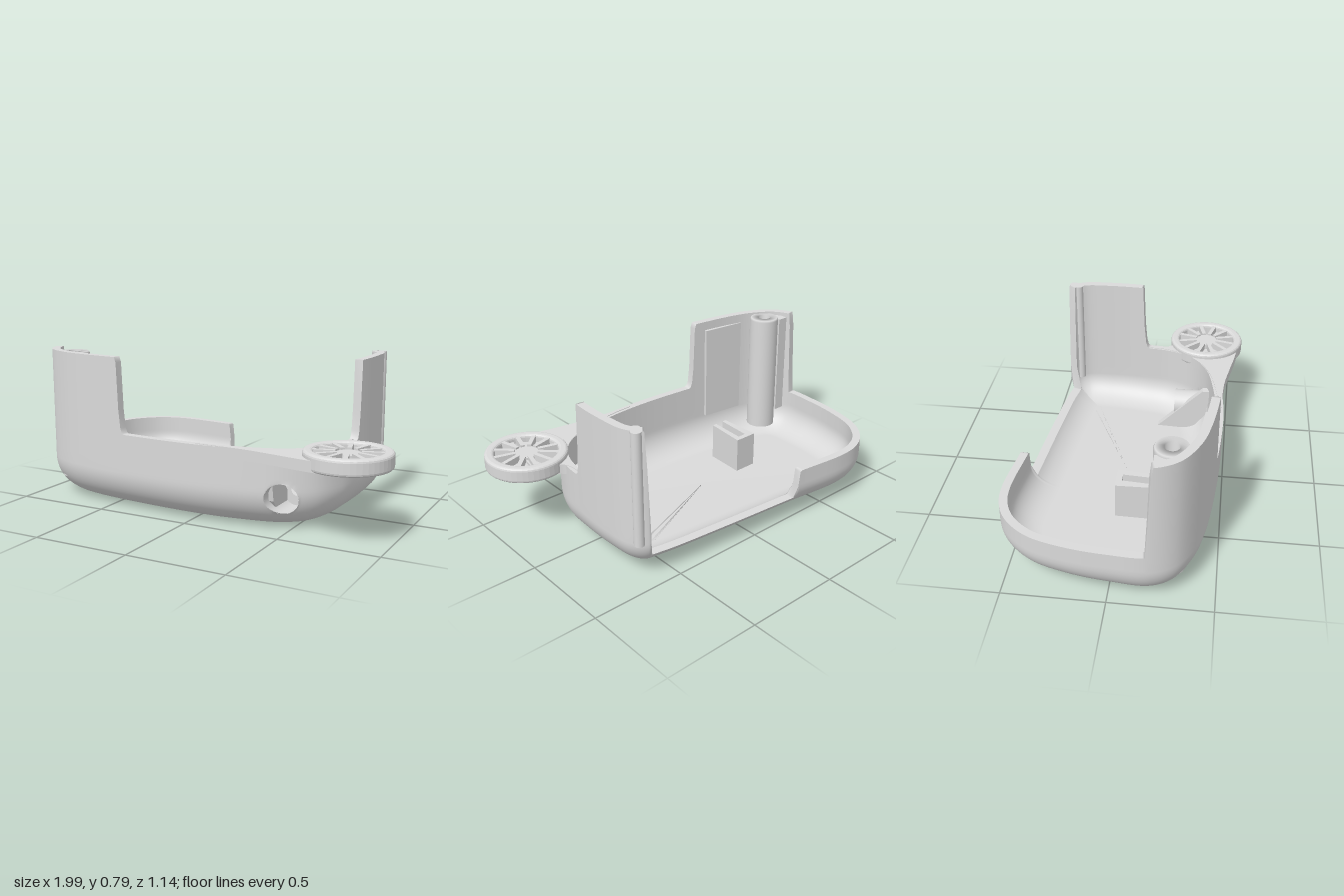
import * as THREE from 'three';

const R = 0.2, WALL = 0.042, N = 480, ARC = 16, SIDE = 10;
const hole = { x: 0.475, y: 0.162, r: 0.076 };
const clamp = THREE.MathUtils.clamp;
const ramp = (v, a, b, ha, hb) => ha + (hb - ha) * clamp((v - a) / (b - a), 0, 1);
const vec2 = list => list.map(([x, y]) => new THREE.Vector2(x, y));

// Plan outline of the housing, as [x, z]
const outline = [
  [0.72, -0.2], [0.712, 0], [0.69, 0.17], [0.62, 0.31], [0.48, 0.41], [0.25, 0.465], [0, 0.485],
  [-0.35, 0.47], [-0.65, 0.435], [-0.8, 0.395], [-0.93, 0.315], [-0.99, 0.2], [-0.99, 0],
  [-0.965, -0.2], [-0.91, -0.38], [-0.81, -0.5], [-0.7, -0.555], [-0.58, -0.57], [-0.27, -0.54],
  [0.2, -0.5], [0.55, -0.462], [0.65, -0.435], [0.705, -0.36],
];

// Rim height around the outline: two tall panels, a middling corner and a low back
function rimHeight(x, z) {
  const fillet = t => 0.4 + 0.39 * Math.pow(1 - clamp(t, 0, 1), 6);
  if (x < -0.7 && z > 0) return ramp(z, 0.18, 0.2, 0.29, 0.79);
  if (z > 0.2) return fillet((x + 0.41) / 0.06);
  if (x > 0.6 && z > -0.3) return fillet((z + 0.01) / 0.06);
  if (x > 0) return ramp(x, 0.625, 0.645, 0.11, 0.79);
  return ramp(x, -0.28, -0.26, 0.29, 0.11);
}

// The floor slopes up slightly towards the back
const tilt = (y, z) => y + 0.035 * clamp((0.3 - z) / 0.7, 0, 1) * (1 - Math.min(1, y / R));

// Wall section, floor to rim, as [inset, y]
function section(h, t) {
  const r = R - t, pts = [];
  const end = h < R ? Math.acos(clamp((R - h) / r, -1, 1)) : Math.PI / 2;
  for (let j = 0; j <= ARC; j++) {
    const a = end * j / ARC;
    pts.push([R - r * Math.sin(a), R - r * Math.cos(a)]);
  }
  const [inset, y] = pts[ARC];
  for (let j = 1; j <= SIDE; j++) pts.push([inset, y + (h - y) * j / SIDE]);
  return pts;
}

// Points inside the socket opening move out to its edge, leaving a clean round hole
function openHole([x, y, z]) {
  const d = Math.hypot(x - hole.x, y - hole.y);
  if (z < 0.2 || d > hole.r) return [x, y, z];
  const s = hole.r / Math.max(d, 0.001);
  return [hole.x + (x - hole.x) * s, hole.y + (y - hole.y) * s, z];
}
const onHole = ([x, y, z]) => z > 0.2 && Math.hypot(x - hole.x, y - hole.y) < hole.r + 0.0002;

// Joins closed rings of points; flip turns the faces inward, centre closes the first ring
function loft(rings, flip, centre) {
  const pos = rings.flat(2), idx = [], n = rings[0].length;
  const tri = (a, b, c) => idx.push(...(flip ? [a, b, c] : [a, c, b]));
  for (let j = 0; j < rings.length - 1; j++) for (let i = 0; i < n; i++) {
    const k = (i + 1) % n;
    if ([rings[j][i], rings[j][k], rings[j + 1][i], rings[j + 1][k]].every(onHole)) continue;
    const a = j * n + i, b = j * n + k;
    tri(a, b, a + n);
    tri(b, b + n, a + n);
  }
  if (centre) {
    const c = pos.length / 3;
    pos.push(...centre);
    for (let i = 0; i < n; i++) tri(c, (i + 1) % n, i);
  }
  const g = new THREE.BufferGeometry();
  g.setAttribute('position', new THREE.Float32BufferAttribute(pos, 3));
  g.setIndex(idx);
  g.computeVertexNormals();
  return g;
}

// Flat plate from a plan shape between two heights
function plate(shape, y0, y1, bevel = 0) {
  const g = new THREE.ExtrudeGeometry(shape, {
    depth: y1 - y0 - 2 * bevel, curveSegments: 24, bevelEnabled: bevel > 0,
    bevelSize: bevel, bevelOffset: -bevel, bevelThickness: bevel, bevelSegments: 3,
  });
  return g.rotateX(-Math.PI / 2).translate(0, y0 + bevel, 0);
}

export function createModel() {
  const model = new THREE.Group();
  const grey = new THREE.MeshStandardMaterial({ color: 0xdadada, side: THREE.DoubleSide });
  grey.name = 'grey plastic';
  const add = (name, geo, x = 0, y = 0, z = 0, parent = model) => {
    const m = new THREE.Mesh(geo, grey);
    m.name = name;
    m.position.set(x, y, z);
    parent.add(m);
    return m;
  };

  // Hollow housing: outer skin, inner skin and rim
  const curve = new THREE.CatmullRomCurve3(outline.map(([x, z]) => new THREE.Vector3(x, 0, z)), true);
  curve.arcLengthDivisions = 1000;
  const skin = t => {
    const rings = Array.from({ length: ARC + SIDE + 1 }, () => []);
    for (let i = 0; i < N; i++) {
      const p = curve.getPointAt(i / N), d = curve.getTangentAt(i / N);
      section(rimHeight(p.x, p.z), t).forEach(([s, y], j) => {
        const x = p.x - d.z * s, z = p.z + d.x * s;
        rings[j].push(openHole([x, tilt(y, z), z]));
      });
    }
    return rings;
  };
  const outer = skin(0), inner = skin(WALL), last = ARC + SIDE;
  add('housingOuter', loft(outer, false, [-0.1, tilt(0, 0), 0]));
  add('housingInner', loft(inner, true, [-0.1, tilt(WALL, 0), 0]));
  add('housingRim', loft([outer[last], inner[last]], false));

  // Recessed screw socket, its mouth trimmed to follow the rounded corner
  const socket = new THREE.CylinderGeometry(hole.r, hole.r, 1, 32, 4, true).rotateX(Math.PI / 2);
  const sp = socket.attributes.position;
  for (let i = 0; i < sp.count; i++) {
    const x = sp.getX(i), y = sp.getY(i) + hole.y;
    const inset = y < R ? R - Math.sqrt(R * R - (R - y) ** 2) : 0;
    const front = 0.408 - 0.45 * x - inset;
    sp.setZ(i, 0.2 + (front - 0.2) * (sp.getZ(i) + 0.5));
  }
  socket.computeVertexNormals();
  add('screwSocket', socket, hole.x, hole.y, 0);
  add('screwSeat', new THREE.RingGeometry(0.028, hole.r, 32), hole.x, hole.y, 0.22);

  // Sloping gusset beside the socket, drawn as [-z, y]
  const gusset = new THREE.Shape(vec2([[-0.1, 0.04], [-0.3, 0.04], [-0.38, 0.14], [-0.41, 0.3], [-0.36, 0.3]]));
  const gussetGeo = new THREE.ExtrudeGeometry(gusset, { depth: 0.04, bevelEnabled: false });
  add('socketGusset', gussetGeo.rotateY(Math.PI / 2), 0.385, 0, 0);

  // Arm joining the front wall to the round mount
  const arm = new THREE.Shape();
  arm.moveTo(0.05, -0.47);
  arm.splineThru(vec2([[0.3, -0.478], [0.48, -0.505], [0.62, -0.53], [0.78, -0.55]]));
  arm.lineTo(0.84, -0.2);
  arm.splineThru(vec2([[0.73, -0.165], [0.69, -0.11], [0.69, -0.03]]));
  arm.lineTo(0.675, -0.03);
  arm.splineThru(vec2([[0.66, -0.15], [0.58, -0.29], [0.43, -0.39], [0.2, -0.445], [0.05, -0.46]]));
  const clear = new THREE.Path();
  clear.absarc(0.785, -0.357, 0.165, 0, Math.PI * 2, true);
  arm.holes.push(clear);
  add('mountArm', plate(arm, 0.35, 0.403));

  // Round mount: rim, pierced plate, hub and spokes
  const mount = new THREE.Group();
  mount.name = 'roundMount';
  mount.position.set(0.785, 0, 0.357);
  model.add(mount);
  const ring = new THREE.Shape().absarc(0, 0, 0.21, 0, Math.PI * 2);
  ring.holes.push(new THREE.Path().absarc(0, 0, 0.16, 0, Math.PI * 2, true));
  add('mountRim', plate(ring, 0.35, 0.43, 0.015), 0, 0, 0, mount);
  const disc = new THREE.Shape().absarc(0, 0, 0.175, 0, Math.PI * 2);
  for (let k = 0; k < 4; k++) {
    const a = k * Math.PI / 2;
    disc.holes.push(new THREE.Path().absarc(0.142 * Math.cos(a), 0.142 * Math.sin(a), 0.028, 0, Math.PI * 2, true));
  }
  add('mountPlate', plate(disc, 0.375, 0.39), 0, 0, 0, mount);
  add('mountHub', new THREE.CylinderGeometry(0.065, 0.065, 0.03, 32), 0, 0.4, 0, mount);
  for (let k = 0; k < 12; k++) {
    const a = (k + 0.5) * Math.PI / 6;
    const s = add('mountSpoke', new THREE.BoxGeometry(0.11, 0.05, 0.022), 0.115 * Math.cos(a), 0.4, -0.115 * Math.sin(a), mount);
    s.rotation.y = a;
  }

  // Corner post with a bore, and its lip along the tall front panel
  const post = vec2([[0.082, 0.1], [0.082, 0.77], [0.076, 0.78], [0.035, 0.78], [0.03, 0.5]]);
  add('cornerPost', new THREE.LatheGeometry(post, 32), -0.815, 0, 0.272);
  add('postWeb', new THREE.BoxGeometry(0.06, 0.58, 0.1), -0.9, 0.48, 0.25);
  add('frontInnerLip', new THREE.BoxGeometry(0.25, 0.54, 0.02), -0.6, 0.47, 0.395).rotation.y = -0.11;

  // Ridges on the far edge of the tall side panel
  add('panelRidge', new THREE.CylinderGeometry(0.026, 0.026, 0.59, 16), 0.675, 0.495, -0.412);
  add('panelInnerRidge', new THREE.CylinderGeometry(0.025, 0.025, 0.6, 16), 0.657, 0.49, -0.385);

  // U-shaped bracket standing on the floor
  const bracket = new THREE.Shape(vec2([
    [-0.455, 0.03], [-0.325, 0.03], [-0.35, -0.2], [-0.375, -0.2],
    [-0.362, 0], [-0.41, 0], [-0.425, -0.2], [-0.45, -0.2],
  ]));
  add('floorBracket', plate(bracket, 0.03, 0.25));
  return model;
}
